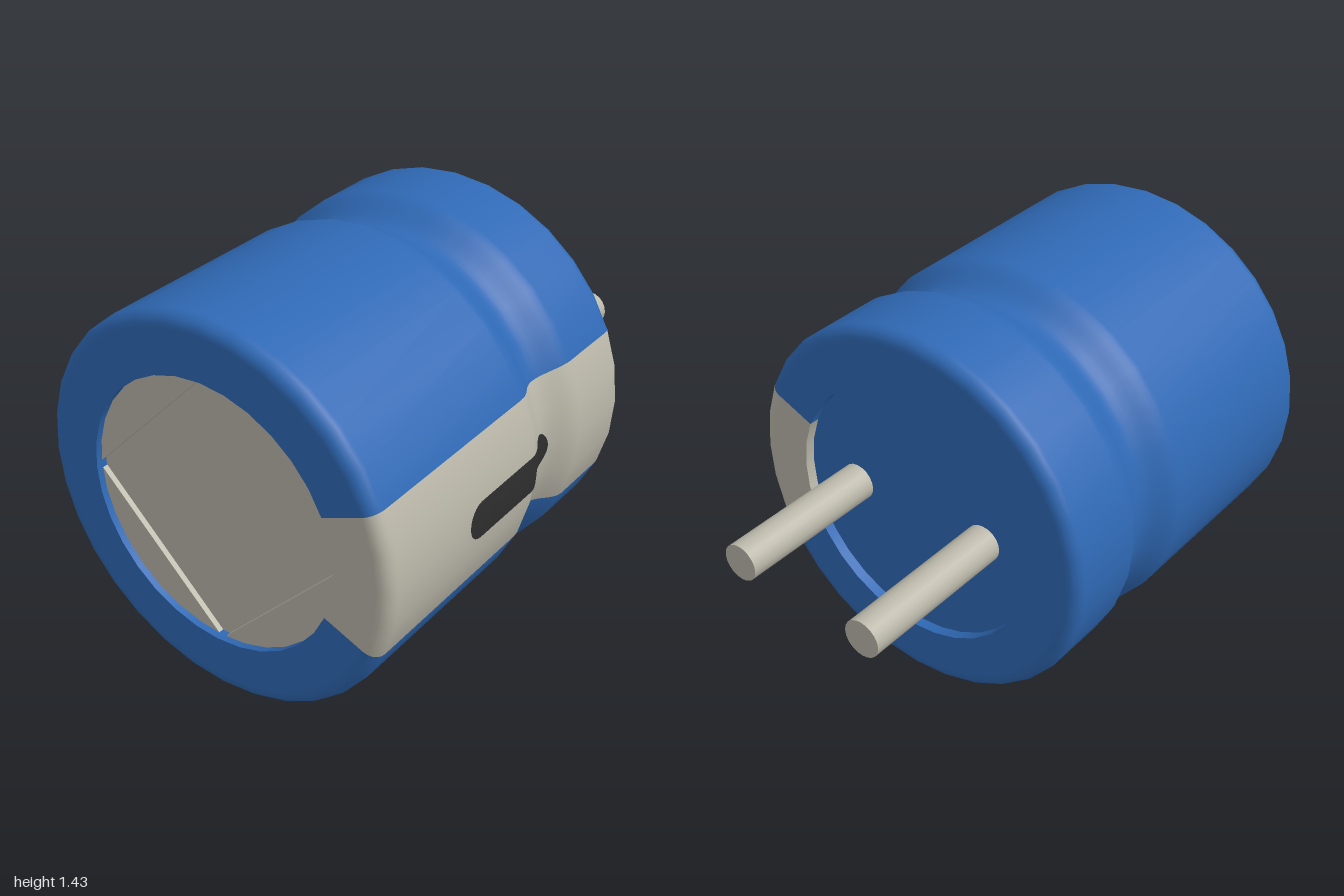
import * as THREE from 'three';
import { ParametricGeometry } from 'three/addons/geometries/ParametricGeometry.js';

const CY = 0.717, R = 0.714, INNER = 0.5, WAIST = 0.655;
const BACK = -0.425, FRONT = 1, BEVEL = 0.05;
const SEG = Math.PI / 16; // one of 32 facets

// Radius along the can, with the crimped waist near z = 0.03
function radiusAt(z) {
  const d = Math.min(1, Math.abs(z - 0.03) / 0.16);
  return R - (R - WAIST) * 0.5 * (1 + Math.cos(Math.PI * d));
}

// Sleeve outline from the back rim, over the waist, to the front rim
function sleeveProfile() {
  const pts = [new THREE.Vector2(INNER, BACK), new THREE.Vector2(R - BEVEL - 0.005, BACK)];
  const arc = (z, from) => {
    for (let i = 0; i <= 5; i++) {
      const a = from + (i / 5) * Math.PI / 2;
      pts.push(new THREE.Vector2(R - BEVEL + BEVEL * Math.cos(a), z + BEVEL * Math.sin(a)));
    }
  };
  arc(BACK + BEVEL, -Math.PI / 2);
  for (let i = 0; i <= 16; i++) {
    const z = -0.13 + i * 0.02;
    pts.push(new THREE.Vector2(radiusAt(z), z));
  }
  arc(FRONT - BEVEL, 0);
  pts.push(new THREE.Vector2(R - BEVEL - 0.005, FRONT), new THREE.Vector2(INNER, FRONT));
  return pts;
}

export function createModel() {
  const blue = new THREE.MeshStandardMaterial({ color: 0x2f69b5 });
  blue.name = 'sleeve blue';
  const grey = new THREE.MeshStandardMaterial({ color: 0xbbb8aa });
  grey.name = 'metal grey';
  const dark = new THREE.MeshStandardMaterial({ color: 0x2e2e2e });
  dark.name = 'mark black';

  const model = new THREE.Group();
  model.name = 'capacitor';
  const body = new THREE.Group();
  body.name = 'body';
  body.position.y = CY;
  model.add(body);

  const add = (name, geometry, material, x = 0, y = 0, z = 0) => {
    const mesh = new THREE.Mesh(geometry, material);
    mesh.name = name;
    mesh.position.set(x, y, z);
    body.add(mesh);
    return mesh;
  };

  // Sleeve and stripe: sectors of the same turned profile, with the rim walls
  const profile = sleeveProfile();
  const v = (r, z) => new THREE.Vector2(r, z);
  const sector = (name, material, start, count) => {
    const turn = (pts) => new THREE.LatheGeometry(pts, count, start, count * SEG).rotateX(Math.PI / 2);
    add(name, turn(profile), material);
    add(name + 'FrontLip', turn([v(INNER, FRONT), v(INNER, FRONT - 0.05)]), material);
    add(name + 'BackLip', turn([v(INNER, BACK + 0.05), v(INNER, BACK)]), material);
  };
  sector('stripe', grey, Math.PI / 2 - 2 * SEG, 4);
  sector('sleeve', blue, Math.PI / 2 + 2 * SEG, 28);

  // Recessed end discs
  const disc = (name, material, z, depth) =>
    add(name, new THREE.CylinderGeometry(INNER, INNER, depth, 32).rotateX(Math.PI / 2), material, 0, 0, z);
  disc('frontDisc', grey, 0.945, 0.02);
  disc('backDisc', blue, BACK + 0.05, 0.02);

  // Four raised quadrants leave the cross-shaped vent groove between them
  const gap = 0.014;
  const a = Math.asin(gap / INNER);
  const quadrant = new THREE.Shape();
  quadrant.moveTo(gap, gap);
  quadrant.absarc(0, 0, INNER, a, Math.PI / 2 - a, false);
  quadrant.closePath();
  const quadrantGeo = new THREE.ExtrudeGeometry(quadrant, { depth: 0.02, bevelEnabled: false, curveSegments: 8 });
  for (let i = 0; i < 4; i++) {
    add('ventQuadrant' + (i + 1), quadrantGeo, grey, 0, 0, 0.955).rotation.z = i * Math.PI / 2;
  }

  // Pill-shaped polarity mark that follows the can surface
  const z0 = 0, z1 = 0.565, half = 0.07;
  const mark = new ParametricGeometry((u, t, target) => {
    const z = z0 + (z1 - z0) * 0.5 * (1 - Math.cos(Math.PI * u));
    const d = Math.max(0, half - Math.min(z - z0, z1 - z));
    const y = (t * 2 - 1) * Math.sqrt(Math.max(0, half * half - d * d));
    const r = radiusAt(z) + 0.004;
    target.set(Math.sqrt(r * r - y * y), y, z);
  }, 40, 6);
  const markMaterial = dark;
  markMaterial.side = THREE.DoubleSide;
  add('polarityMark', mark, markMaterial);

  // Two leads, one slightly longer
  const lead = (name, x, end) => {
    const start = BACK + 0.04, length = start - end;
    add(name, new THREE.CylinderGeometry(0.07, 0.07, length, 20).rotateX(Math.PI / 2), grey, x, 0, end + length / 2);
  };
  lead('rightLead', -0.29, -1);
  lead('leftLead', 0.28, -0.972);

  return model;
}
